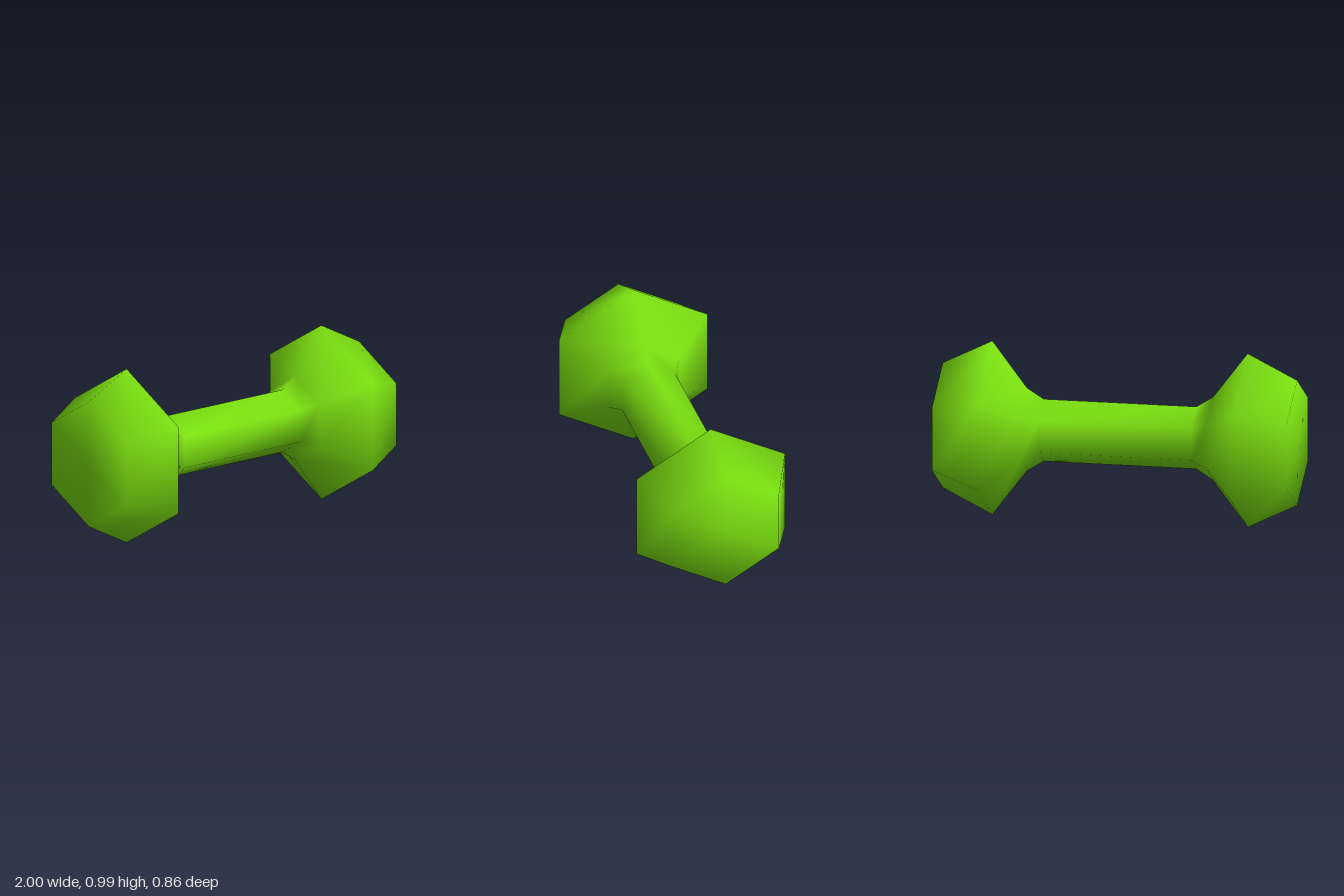
import * as THREE from 'three';
import { mergeVertices } from 'three/addons/utils/BufferGeometryUtils.js';

const RADIUS = 0.497; // widest ring of a head, resting on the ground

// Half profile as [distance along the bar, radius]
const halfProfile = [
  [0.43, 0.178], // end of the handle
  [0.525, 0.238], // collar
  [0.72, RADIUS], // widest ring of the head
  [1.0, 0.357], // rim of the end face
  [1.0, 0],
];

export function createModel() {
  const group = new THREE.Group();
  group.name = 'dumbbell';

  const green = new THREE.MeshStandardMaterial({ color: 0x7be010 });
  green.name = 'lime green';

  // Mirror the half profile and turn it into a six-sided solid
  const points = [
    ...halfProfile.map(([d, r]) => new THREE.Vector2(r, -d)).reverse(),
    ...halfProfile.map(([d, r]) => new THREE.Vector2(r, d)),
  ];
  let geometry = new THREE.LatheGeometry(points, 6, Math.PI / 2);

  // Weld everything so the shading runs smoothly over all edges
  geometry.deleteAttribute('uv');
  geometry.deleteAttribute('normal');
  geometry = mergeVertices(geometry, 1e-4);
  geometry.computeVertexNormals();
  geometry.rotateZ(-Math.PI / 2);

  const body = new THREE.Mesh(geometry, green);
  body.name = 'handleAndHeads';
  body.position.y = RADIUS;
  group.add(body);
  return group;
}
